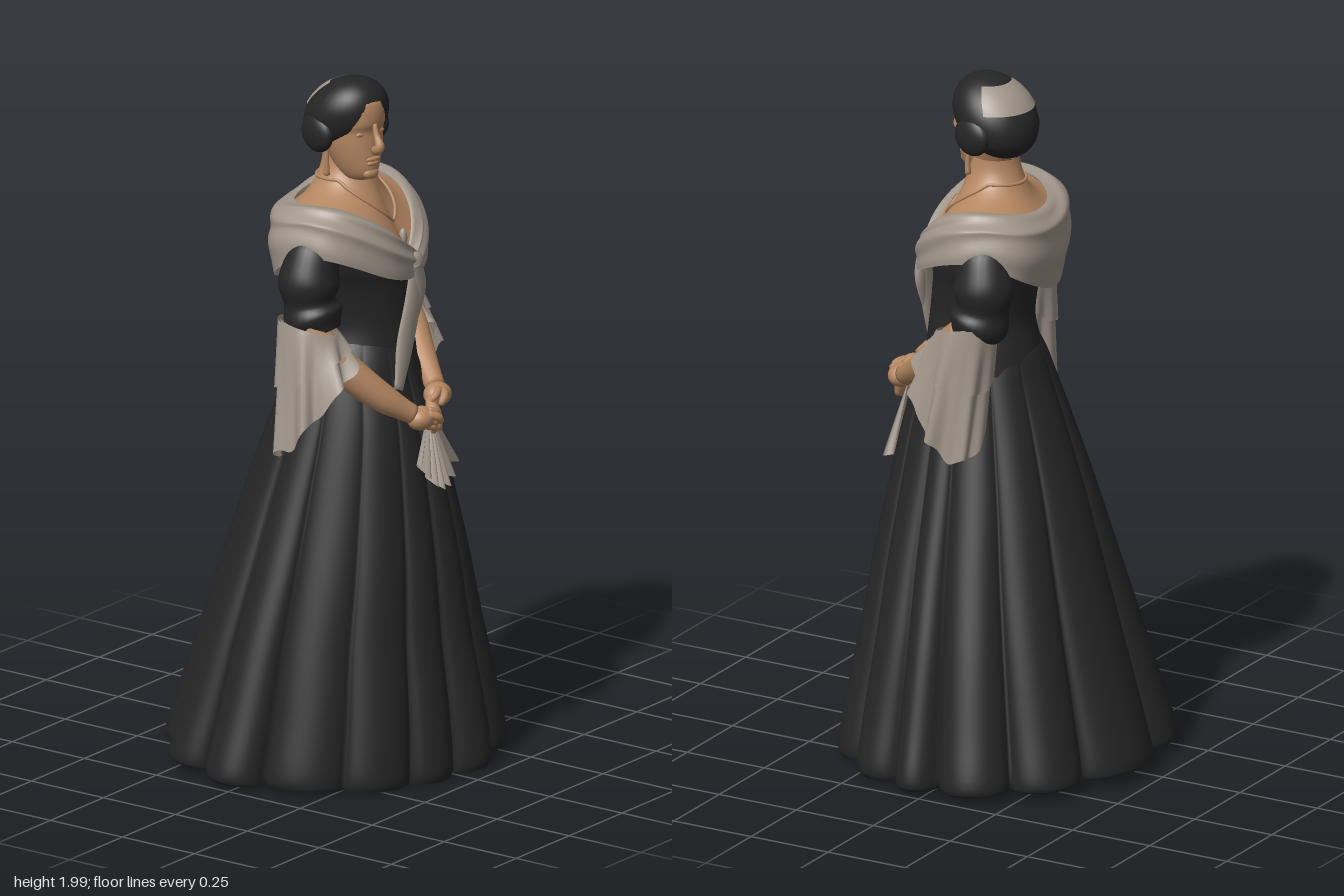
import * as THREE from 'three';

const { sin, cos, PI, abs, max, min, floor, pow } = Math;
const mat = (name, color, side = THREE.FrontSide) => Object.assign(new THREE.MeshStandardMaterial({ color, side }), { name });

// Catmull-Rom through rows of numbers, t in 0..1
function spline(rows, t) {
  const n = rows.length - 1, i = min(floor(t * n), n - 1), f = t * n - i;
  const a = rows[max(i - 1, 0)], b = rows[i], c = rows[i + 1], d = rows[min(i + 2, n)];
  return b.map((_, j) => 0.5 * (2 * b[j] + (c[j] - a[j]) * f
    + (2 * a[j] - 5 * b[j] + 4 * c[j] - d[j]) * f * f + (3 * b[j] - a[j] - 3 * c[j] + d[j]) * f * f * f));
}

// Grid surface: fn(u, v) gives [x, y, z]; u runs round (0..2PI) when closed, else 0..1
function surface(fn, nu, nv, closed = true) {
  const pos = [], idx = [], cols = closed ? nu : nu + 1;
  for (let i = 0; i <= nv; i++) for (let j = 0; j < cols; j++) pos.push(...fn(closed ? j / nu * 2 * PI : j / nu, i / nv));
  for (let i = 0; i < nv; i++) for (let j = 0; j < nu; j++) {
    const k = (j + 1) % cols, a = i * cols + j, b = i * cols + k, c = a + cols, d = b + cols;
    idx.push(a, c, b, b, c, d);
  }
  const g = new THREE.BufferGeometry();
  g.setAttribute('position', new THREE.Float32BufferAttribute(pos, 3));
  g.setIndex(idx);
  g.computeVertexNormals();
  return g;
}

// Tube of varying radius along a path, closed at both ends; flat squashes its depth
function limb(points, radii, flat = 1, nu = 16, nv = 28) {
  const curve = new THREE.CatmullRomCurve3(points.map(p => new THREE.Vector3(...p)));
  const ref = new THREE.Vector3(0, 0, 1), keys = radii.map(r => [r]);
  return surface((u, v) => {
    const w = min(max((v - 0.04) / 0.92, 0), 1), p = curve.getPoint(w), T = curve.getTangent(w);
    const side = new THREE.Vector3().crossVectors(T, ref).normalize();
    const other = new THREE.Vector3().crossVectors(side, T);
    const r = v === 0 || v === 1 ? 0.0005 : spline(keys, w)[0];
    return p.addScaledVector(side, r * cos(u)).addScaledVector(other, r * flat * sin(u)).toArray();
  }, nu, nv);
}

function add(parent, name, geometry, material) {
  const m = new THREE.Mesh(geometry, material);
  m.name = name;
  parent.add(m);
  return m;
}
function blob(parent, name, material, p, r) {
  const m = add(parent, name, new THREE.SphereGeometry(1, 24, 16), material);
  m.position.set(...p);
  m.scale.set(...r);
}

// Scalloped folds of the skirt: valley angles in degrees, and the reach of the crest after each
const valleys = [-62.5, -33, -4, 15, 40.6, 66.5, 88.6, 110, 138, 170, 197.5, 227, 256.4, 297.5];
const crests = [1, 1.02, 1.02, 1.01, 1.02, 1.02, 0.96, 0.945, 0.935, 1.02, 1.02, 1.01, 1];
function fold(u) {
  let d = u * 180 / PI;
  if (d >= 297.5) d -= 360;
  const i = valleys.findIndex((a, k) => d >= a && d < valleys[k + 1]);
  const t = (d - valleys[i]) / (valleys[i + 1] - valleys[i]);
  const rise = pow(max(sin(PI * t), 0), 0.45);
  return rise - 1 + (crests[i] - 1) * 6 * rise;
}

export function createModel() {
  const model = new THREE.Group();
  model.name = 'ladyWithFan';
  const black = mat('black cloth and hair', 0x252526);
  const skin = mat('skin', 0xb58762);
  const linen = mat('linen', 0xa0958a, THREE.DoubleSide);

  // Skirt: [y, half width, half depth, centre z, fold depth]
  const skirtRows = [[0.008, 0.488, 0.452, 0, 0.165], [0.05, 0.496, 0.459, 0, 0.165], [0.2, 0.458, 0.428, 0.01, 0.15],
    [0.4, 0.405, 0.38, 0.022, 0.13], [0.6, 0.346, 0.337, 0.038, 0.11], [0.8, 0.285, 0.29, 0.05, 0.09],
    [1.0, 0.224, 0.236, 0.063, 0.07], [1.12, 0.187, 0.195, 0.066, 0.045], [1.2, 0.158, 0.168, 0.068, 0.02], [1.27, 0.122, 0.13, 0.072, 0.005]];
  const skirtPoint = (u, v) => {
    const [y, rx, rz, cz, a] = spline(skirtRows, v), k = 1 + a * fold(u);
    return [0.01 * v + rx * k * cos(u), y + 0.03 * (0.5 - 0.5 * sin(u)) * pow(1 - v, 6), cz + rz * k * sin(u)];
  };
  add(model, 'skirt', surface(skirtPoint, 390, 45), black);
  add(model, 'skirtBase', surface((u, v) => {
    const p = skirtPoint(u, 0);
    return [p[0] * v, p[1] * v + 0.02 * (1 - v), p[2] * v];
  }, 390, 4), black);

  // Upper body, turned slightly to its left
  const torso = new THREE.Group();
  torso.name = 'torso';
  torso.position.set(0.01, 0, 0.03);
  torso.rotation.y = 0.3;
  model.add(torso);

  const bodiceRows = [[1.16, 0.165, 0.17, 0.037], [1.22, 0.153, 0.16, 0.04], [1.3, 0.138, 0.148, 0.043],
    [1.4, 0.152, 0.15, 0.032], [1.46, 0.175, 0.153, 0.025], [1.51, 0.19, 0.145, 0.02]];
  add(torso, 'bodice', surface((u, v) => {
    const [y, rx, rz, cz] = spline(bodiceRows, v);
    return [rx * cos(u), y + 0.09 * max(-sin(u), 0) * pow(v, 4), cz + rz * sin(u)];
  }, 48, 24), black);

  // Neckline shared by the chest and the shawl
  const neckline = (u, k = 1) => {
    const s = sin(u), front = s > 0;
    return [0.185 * k * cos(u), 1.665 - (front ? 0.17 * (1 - abs(cos(u))) : 0.035 * s * s), (front ? 0.185 : 0.135) * k * s];
  };
  const bezier = (a, b, c, t) => a.map((_, j) => (1 - t) * (1 - t) * a[j] + 2 * t * (1 - t) * b[j] + t * t * c[j]);
  const chestPoint = (u, v) => {
    const end = neckline(u, 1.09);
    end[1] -= 0.02;
    const f = max(sin(u), 0);
    return bezier(end, [0.062 * cos(u), 1.67 - 0.03 * f, 0.012 + 0.083 * sin(u)], [0.06 * cos(u), 1.77, 0.004 + 0.066 * sin(u)], v);
  };
  add(torso, 'neckAndChest', surface(chestPoint, 56, 24), skin);

  // Shawl draped over the shoulders with soft folds, fuller behind
  add(torso, 'shawl', surface((u, v) => {
    const s = sin(u), c = cos(u), f = max(s, 0), b = max(-s, 0), inner = neckline(u);
    const full = 1 + 0.3 * b * b * c * c;
    const outer = [0.285 * c * full, 1.54 - 0.11 * f * f - 0.14 * b * b, (s > 0 ? 0.222 : 0.172) * s * full];
    const ctrl = [0.285 * c * full, inner[1] + 0.012, (s > 0 ? 0.235 : 0.232) * s * full];
    const p = bezier(outer, ctrl, inner, v), w = 1 + 0.022 * sin(17 * v + 2.5 * s) * sin(PI * v) + 0.01 * sin(7 * u) * (1 - v);
    return [p[0] * w, p[1] + 0.004 * sin(14 * v + 3 * c), p[2] * w];
  }, 96, 30), linen);

  // Puffed sleeves
  for (const sx of [1, -1]) {
    add(torso, sx > 0 ? 'leftSleeve' : 'rightSleeve', limb([[0.19, 1.59, -0.01], [0.23, 1.525, -0.015], [0.25, 1.45, -0.02], [0.252, 1.38, -0.012], [0.255, 1.315, 0.015]]
      .map(([x, y, z]) => [sx * x, y, z]), [0.04, 0.066, 0.076, 0.083, 0.07, 0.082, 0.06], 1.05, 28, 36), black);
  }

  // Flared cuffs, forearms and hands
  const arms = [
    { side: 'left', out: 1, dx: -1, cuffTop: [0.262, 1.34, -0.02], cuffEnd: [0.288, 1.1, 0.025], palm: [0.08, 1.085, 0.3],
      path: [[0.265, 1.33, -0.02], [0.232, 1.24, 0.08], [0.165, 1.16, 0.18], [0.1, 1.095, 0.28]] },
    { side: 'right', out: -1, dx: 1, cuffTop: [-0.258, 1.34, 0.1], cuffEnd: [-0.296, 1.11, 0.135], palm: [-0.06, 1.06, 0.345],
      path: [[-0.27, 1.33, 0.1], [-0.235, 1.24, 0.18], [-0.15, 1.13, 0.28], [-0.085, 1.075, 0.335]] }];
  for (const { side, out, dx, cuffTop, cuffEnd, palm: h, path } of arms) {
    const cuff = (len, extra) => surface((u, v) => {
      const e = (1 - v) * len, c = cos(u), s = sin(u), [x, y, z] = cuffTop.map((a, j) => a + (cuffEnd[j] - a) * e);
      const along = 0.7 * (s - c * out);   // towards the hand
      const r = 0.074 + extra + 0.018 * pow(e, 0.8) + e * (0.03 * max(along, 0) + 0.012 * sin(7 * u + 1) + 0.005 * sin(12 * u));
      const slant = e * (0.012 * cos(7 * u) + 0.13 * along) - 0.02 * (1 - e) * along;
      return [x + r * c, y + slant, z + r * 1.08 * s];
    }, 96, 14);
    add(model, side + 'Cuff', cuff(1, 0), linen);
    add(model, side + 'CuffUpperRuffle', cuff(0.5, 0.008), linen);
    add(model, side + 'Forearm', limb(path, [0.05, 0.05, 0.041, 0.028], 1), skin);
    blob(model, side + 'Palm', skin, h, [0.044, 0.034, 0.038]);
    for (let i = 0; i < 4; i++) {
      const y = h[1] + 0.022 - i * 0.015, z = h[2] + 0.012 - i * 0.003;
      add(model, side + 'Finger', limb([[h[0] + dx * 0.01, y, z], [h[0] + dx * 0.042, y - 0.012, z + 0.012], [h[0] + dx * 0.055, y - 0.032, z]],
        [0.012, 0.0105, 0.008], 1, 8, 10), skin);
    }
    add(model, side + 'Thumb', limb([[h[0], h[1] + 0.015, h[2] + 0.02], [h[0] + dx * 0.025, h[1] + 0.005, h[2] + 0.042], [h[0] + dx * 0.042, h[1] - 0.015, h[2] + 0.04]],
      [0.014, 0.012, 0.009], 1, 8, 10), skin);
  }

  // Pleated fan hanging from the hands
  const apex = [0.03, 1.06, 0.305];
  add(model, 'fan', surface((u, v) => {
    const rim = bezier([-0.145, 0.965, 0.395], [-0.01, 0.775, 0.395], [0.165, 0.875, 0.295], u);
    const t = 0.1 + 0.9 * v, wave = cos(u * 12 * PI);
    const p = apex.map((a, j) => a + (rim[j] - a) * t);
    return [p[0], p[1] - 0.006 * wave * t * t, p[2] + 0.018 * wave * t];
  }, 120, 8, false), linen);
  add(model, 'fanHandle', limb([[0.04, 1.09, 0.3], [0.027, 1.05, 0.325], [0.015, 1.0, 0.345]], [0.014, 0.026, 0.02], 0.8, 10, 12), skin);

  // Shawl knot and hanging ends
  blob(model, 'shawlKnot', linen, [0.055, 1.465, 0.24], [0.032, 0.034, 0.02]);
  add(model, 'shawlLongEnd', limb([[0.06, 1.47, 0.24], [0.045, 1.36, 0.24], [0.01, 1.23, 0.237], [-0.04, 1.12, 0.253]],
    [0.024, 0.034, 0.036, 0.02], 0.4), linen);
  add(model, 'shawlShortEnd', limb([[0.05, 1.47, 0.25], [0.072, 1.39, 0.243], [0.05, 1.28, 0.238]], [0.02, 0.026, 0.012], 0.5), linen);

  // Necklace lying on the chest, with a pendant
  const chain = [];
  for (let i = 0; i < 24; i++) {
    const u = i / 24 * 2 * PI, p = chestPoint(u, 0.62 - 0.3 * max(sin(u), 0));
    chain.push(new THREE.Vector3(p[0] * 1.01, p[1] + 0.001, p[2] * 1.01));
  }
  add(torso, 'necklace', new THREE.TubeGeometry(new THREE.CatmullRomCurve3(chain, true), 96, 0.005, 8, true), skin);
  blob(torso, 'pendant', linen, [0, 1.53, 0.172], [0.013, 0.028, 0.012]);

  // Head, turned slightly to its right
  const head = new THREE.Group();
  head.name = 'head';
  head.position.set(0, 0, 0.05);
  head.rotation.y = -0.26;
  model.add(head);

  // Face: [y, half width, front z, back z]
  const faceRows = [[1.705, 0.006, 0.05, 0.03], [1.712, 0.034, 0.085, -0.02], [1.735, 0.05, 0.108, -0.04], [1.775, 0.067, 0.112, -0.06],
    [1.82, 0.08, 0.111, -0.08], [1.858, 0.085, 0.11, -0.09], [1.885, 0.086, 0.12, -0.09], [1.93, 0.082, 0.119, -0.08],
    [1.955, 0.066, 0.102, -0.05], [1.975, 0.005, 0.03, 0.02]];
  add(head, 'face', surface((u, v) => {
    const [y, rx, f, b] = spline(faceRows, v);
    return [rx * cos(u), y, (f + b) / 2 + (f - b) / 2 * sin(u)];
  }, 40, 36), skin);
  add(head, 'nose', limb([[0, 1.885, 0.114], [0, 1.85, 0.126], [0, 1.82, 0.14], [0, 1.803, 0.114]], [0.007, 0.009, 0.014, 0.013], 1, 12, 16), skin);
  blob(head, 'upperLip', skin, [0, 1.779, 0.111], [0.024, 0.007, 0.007]);
  blob(head, 'lowerLip', skin, [0, 1.766, 0.109], [0.02, 0.008, 0.007]);
  blob(head, 'chin', skin, [0, 1.735, 0.099], [0.026, 0.018, 0.015]);
  for (const sx of [1, -1]) {
    blob(head, 'eyelid', skin, [sx * 0.033, 1.853, 0.096], [0.016, 0.008, 0.007]);
    blob(head, 'hairRoll', black, [sx * 0.1, 1.845, -0.015], [0.028, 0.056, 0.062]);
    add(head, 'earring', limb([[sx * 0.088, 1.81, 0.01], [sx * 0.089, 1.77, 0.012], [sx * 0.088, 1.72, 0.012]], [0.006, 0.007, 0.009], 1, 8, 12), skin);
  }

  // Hair shell leaning forward over the brow, low bun, and the cap on the crown
  const hairShape = (g, grow) => {
    g.scale(0.116 + grow, 0.115 + grow, 0.12 + grow);
    const p = g.attributes.position;
    for (let i = 0; i < p.count; i++) p.setZ(i, p.getZ(i) - 0.01 + 0.35 * p.getY(i));
    g.translate(0, 1.885, 0);
    g.computeVertexNormals();
    return g;
  };
  add(head, 'hair', hairShape(new THREE.SphereGeometry(1, 40, 28), 0), black);
  blob(head, 'hairBun', black, [0, 1.838, -0.062], [0.096, 0.055, 0.062]);
  add(head, 'cap', hairShape(new THREE.SphereGeometry(1, 28, 12, PI * 1.17, PI * 0.64, PI * 0.19, PI * 0.23), 0.003), linen);

  return model;
}
